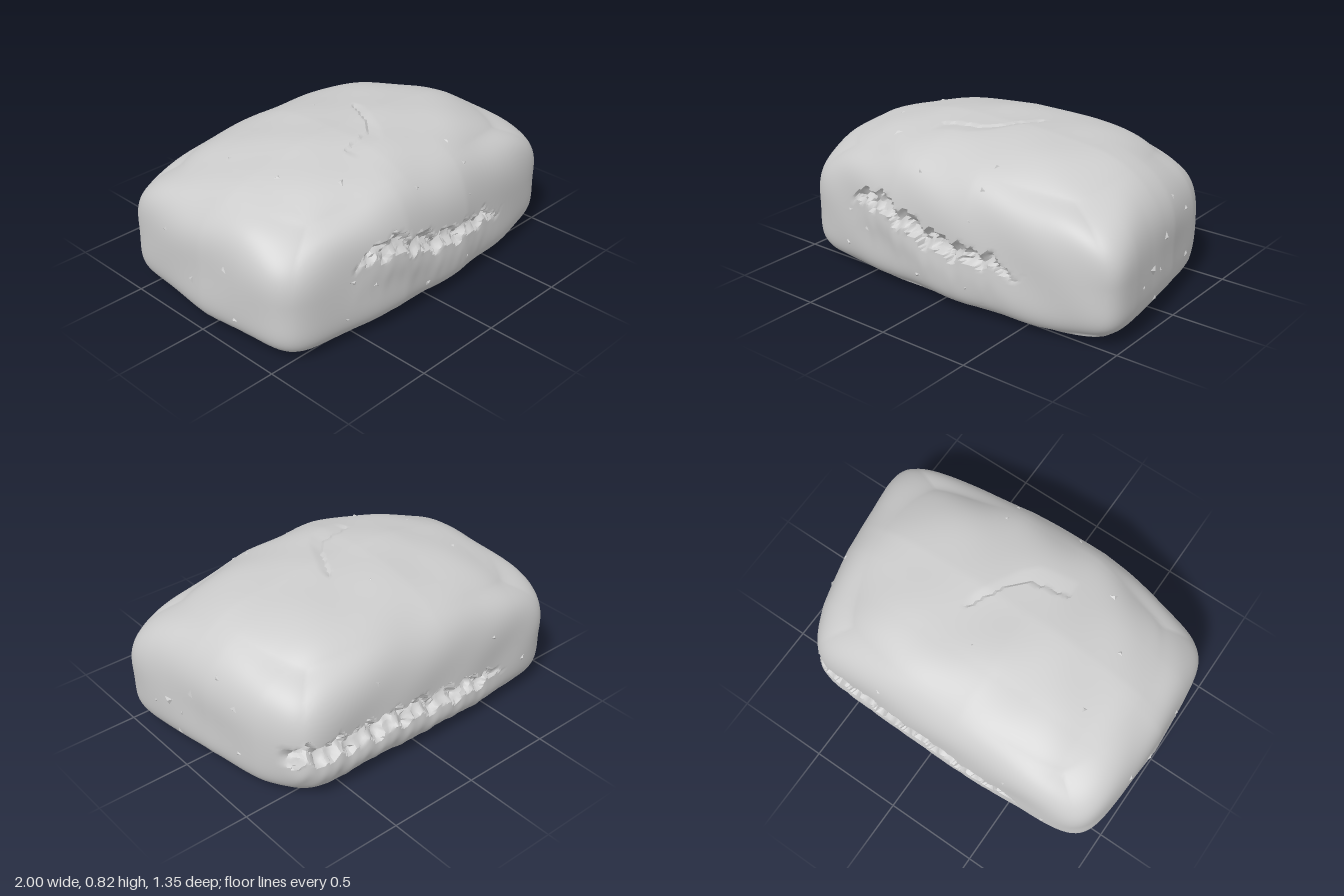
import * as THREE from 'three';
import { mergeVertices, mergeGeometries, toCreasedNormals } from 'three/addons/utils/BufferGeometryUtils.js';

let seed = 7;
const rand = () => {
  seed = (seed * 16807) % 2147483647;
  return seed / 2147483647;
};

// Repeatable jitter in -0.5..0.5, constant within a small cell
const CELL = 0.05;
function cellNoise(x, y) {
  const s = Math.sin(Math.round((x + y * 0.4) / CELL) * 127.1 + Math.round(y / CELL) * 311.7) * 43758.5453;
  return s - Math.floor(s) - 0.5;
}

// Linear interpolation through [input, output] pairs
function lookup(pairs, t) {
  if (t <= pairs[0][0]) return pairs[0][1];
  for (let i = 1; i < pairs.length; i++) {
    const [a, va] = pairs[i - 1], [b, vb] = pairs[i];
    if (t <= b) return va + (vb - va) * (t - a) / (b - a);
  }
  return pairs[pairs.length - 1][1];
}

// Plan outline: x scale of each end by z, z scale of the front by x
const RIGHT_END = [[-0.66, 0.78], [-0.58, 0.8], [-0.4, 0.865], [-0.1, 0.935], [0.2, 0.97], [0.4, 1], [0.6, 1.02]];
const LEFT_END = [[-0.66, 0.96], [-0.4, 0.975], [0, 1], [0.3, 0.985], [0.6, 0.96]];
const FRONT = [[-1, 0.86], [-0.6, 0.935], [-0.25, 1], [0.2, 1], [0.6, 0.92], [1, 0.85]];
// Crown: height scale by x and by z
const CROWN_X = [[-0.95, 0.9], [-0.7, 0.92], [-0.4, 0.97], [-0.15, 1], [0.3, 0.985], [0.8, 0.98]];
const CROWN_Z = [[-0.6, 0.93], [-0.3, 0.95], [0.05, 1], [0.3, 0.985], [0.5, 0.97]];

const FRONT_SPLIT = [[-0.55, 0.44], [-0.35, 0.48], [-0.15, 0.41], [0, 0.36], [0.2, 0.34], [0.35, 0.34], [0.52, 0.28]];
const BACK_SPLIT = [[-0.55, 0.23], [-0.2, 0.25], [0.1, 0.28], [0.45, 0.28], [0.8, 0.29]];
const FRONT_WIDTH = [[-0.6, 0], [-0.4, 0.05], [0, 0.05], [0.35, 0.035], [0.55, 0]];
const BACK_WIDTH = [[-0.6, 0], [-0.35, 0.045], [0.1, 0.055], [0.85, 0.055]];
const TOP_SEAM = [[-0.25, 0.24], [-0.05, 0.2], [0.02, 0.13], [0.14, -0.1]];

// Loaf surface: a point on the unit cube becomes a point on the crust
function crust(p) {
  const up = Math.max(0, p.y);
  const a = 9 - 6 * up * up * (3 - 2 * up);
  const n = p.y > 0 ? 3.1 - 0.3 * p.x : 5.5;
  const h = Math.pow(Math.abs(p.x) ** a + Math.abs(p.z) ** a, 1 / a);
  const r = Math.pow(h ** n + Math.abs(p.y) ** n, -1 / n);
  let x = p.x * r, z = p.z * r * 0.66;
  const v = p.y * r;
  let y = 0.33 + v * (v > 0 ? 0.495 * lookup(CROWN_X, x) * lookup(CROWN_Z, z) : 0.34);
  if (v < 0) y += 0.012 * v * v * Math.max(0, 1 - (x / 0.7) ** 2);

  const frontScale = lookup(FRONT, x);
  x *= lookup(x > 0 ? RIGHT_END : LEFT_END, z);
  if (z > 0) z *= frontScale;

  // Soft dents
  const dent = 0.005 * Math.sin(5.1 * x + 3 * z + 1) * Math.cos(6.3 * z + 4 * y)
    + 0.004 * Math.sin(13 * x + 7 * y) * Math.sin(11 * z - 9 * y + 2);
  const k = p.y > -0.9 ? 1 : 0.2;
  x += dent * p.x * k;
  y += dent * p.y * k;
  z += dent * p.z * k;
  return new THREE.Vector3(x, y, z);
}

// Ragged split along a side, with a lip below it
function split(v, side, path, widths, depth, lip) {
  const w = lookup(widths, v.x);
  const near = THREE.MathUtils.smoothstep(v.z * side, 0.5, 0.6);
  if (near <= 0 || w <= 0) return;
  const strength = near * w / 0.05;
  const ragged = 0.015 * Math.sin(v.x * 37) + 0.012 * Math.sin(v.x * 71 + 1);
  const d = v.y - lookup(path, v.x) - ragged;
  const inside = Math.max(0, 1 - Math.abs(d) / w);
  const rough = inside > 0 ? cellNoise(v.x, v.y) : 0;
  v.z -= side * strength * (depth * Math.sqrt(inside) + rough * 0.03);
  v.z += side * lip * strength * Math.exp(-(((d + 0.12) / 0.07) ** 2));
}

// Shallow torn step across the top
function seam(v) {
  if (v.y < 0.6 || v.x < -0.25 || v.x > 0.14) return;
  const d = v.z - lookup(TOP_SEAM, v.x);
  if (d > 0 && d < 0.1) v.y -= 0.012 * (1 - d / 0.1);
}

function buildLoaf() {
  let geo = new THREE.BoxGeometry(2, 2, 2, 110, 56, 68);
  geo.deleteAttribute('uv');
  geo.deleteAttribute('normal');
  geo = mergeVertices(geo);
  const pos = geo.attributes.position;
  const p = new THREE.Vector3();
  for (let i = 0; i < pos.count; i++) {
    p.fromBufferAttribute(pos, i);
    const v = crust(p);
    split(v, 1, FRONT_SPLIT, FRONT_WIDTH, 0.045, 0.006);
    split(v, -1, BACK_SPLIT, BACK_WIDTH, 0.05, 0.015);
    seam(v);
    pos.setXYZ(i, v.x, Math.max(0, v.y), v.z);
  }
  return toCreasedNormals(geo, 0.6);
}

// Small three-sided flake lying on a surface
function flake(point, normal, size) {
  const geo = new THREE.ConeGeometry(size, size * 0.4, 3).toNonIndexed();
  geo.rotateY(rand() * 6.28);
  geo.scale(1, 1, 0.45 + rand() * 0.4);
  geo.rotateY(rand() * 6.28);
  geo.applyQuaternion(new THREE.Quaternion().setFromUnitVectors(new THREE.Vector3(0, 1, 0), normal));
  geo.translate(point.x, point.y, point.z);
  geo.computeVertexNormals();
  return geo;
}

function crustFlake(x, y, z, size) {
  const p = new THREE.Vector3(x, y, z);
  const axis = ['x', 'y', 'z'].find((k) => Math.abs(p[k]) === 1);
  const [s, t] = { x: ['y', 'z'], y: ['z', 'x'], z: ['x', 'y'] }[axis];
  const at = crust(p);
  const q = p.clone(), r = p.clone();
  q[s] += 0.03;
  r[t] += 0.03;
  const normal = crust(q).sub(at).cross(crust(r).sub(at)).normalize().multiplyScalar(p[axis]);
  return flake(at, normal, size);
}

export function createModel() {
  const group = new THREE.Group();
  group.name = 'breadRoll';
  const material = new THREE.MeshStandardMaterial({ color: 0xcccccc });
  const add = (name, geo) => {
    const mesh = new THREE.Mesh(geo, material);
    mesh.name = name;
    group.add(mesh);
  };

  add('loaf', buildLoaf());

  // Flakes on the crust, placed in cube coordinates
  const spots = [
    [1, -0.1, 0.29, 0.065], [1, 0.16, 0.01, 0.055], [1, 0.26, -0.42, 0.045], [1, 0.5, -0.23, 0.035],
    [1, -0.4, -0.45, 0.045], [1, -0.6, 0.2, 0.04], [1, -0.25, 0.47, 0.03], [1, -0.2, 0.13, 0.03],
    [-1, 0.2, 0.3, 0.045], [-1, -0.2, -0.1, 0.05], [-1, 0.3, -0.4, 0.04], [-1, -0.5, 0.4, 0.045],
    [-0.6, 0.06, 1, 0.045], [-0.46, -0.1, 1, 0.045], [-0.09, -0.55, 1, 0.045], [0.22, -0.5, 1, 0.035],
    [-0.64, -0.5, 1, 0.04], [0.3, 0.8, 1, 0.035], [-0.13, 0.8, 1, 0.035], [0.24, 0.4, 1, 0.02],
    [-0.49, 1, 0.68, 0.05], [-0.67, 1, 0.27, 0.035], [-0.69, 1, -0.3, 0.035],
    [0.0, 1, -0.36, 0.02], [0.3, 1, 0.8, 0.035],
    [-0.5, 0.3, -1, 0.035], [0.4, 0.45, -1, 0.035], [0.1, -0.65, -1, 0.03], [-0.75, -0.3, -1, 0.04],
  ];
  add('crustFlakes', mergeGeometries(spots.map((s) => crustFlake(...s))));

  // Torn crumb inside the two splits
  const crumbs = [];
  for (const [side, path, from, to] of [[1, FRONT_SPLIT, -0.4, 0.42], [-1, BACK_SPLIT, -0.4, 0.62]]) {
    for (let i = 0; i < 14; i++) {
      const x = from + (to - from) * (i + rand() * 0.6) / 14;
      const point = new THREE.Vector3(x, lookup(path, x) + (rand() - 0.5) * 0.06, side * 0.6);
      const normal = new THREE.Vector3(rand() - 0.5, rand() - 0.5, side).normalize();
      crumbs.push(flake(point, normal, 0.045 + rand() * 0.03));
    }
  }
  add('splitCrumb', mergeGeometries(crumbs));
  return group;
}
